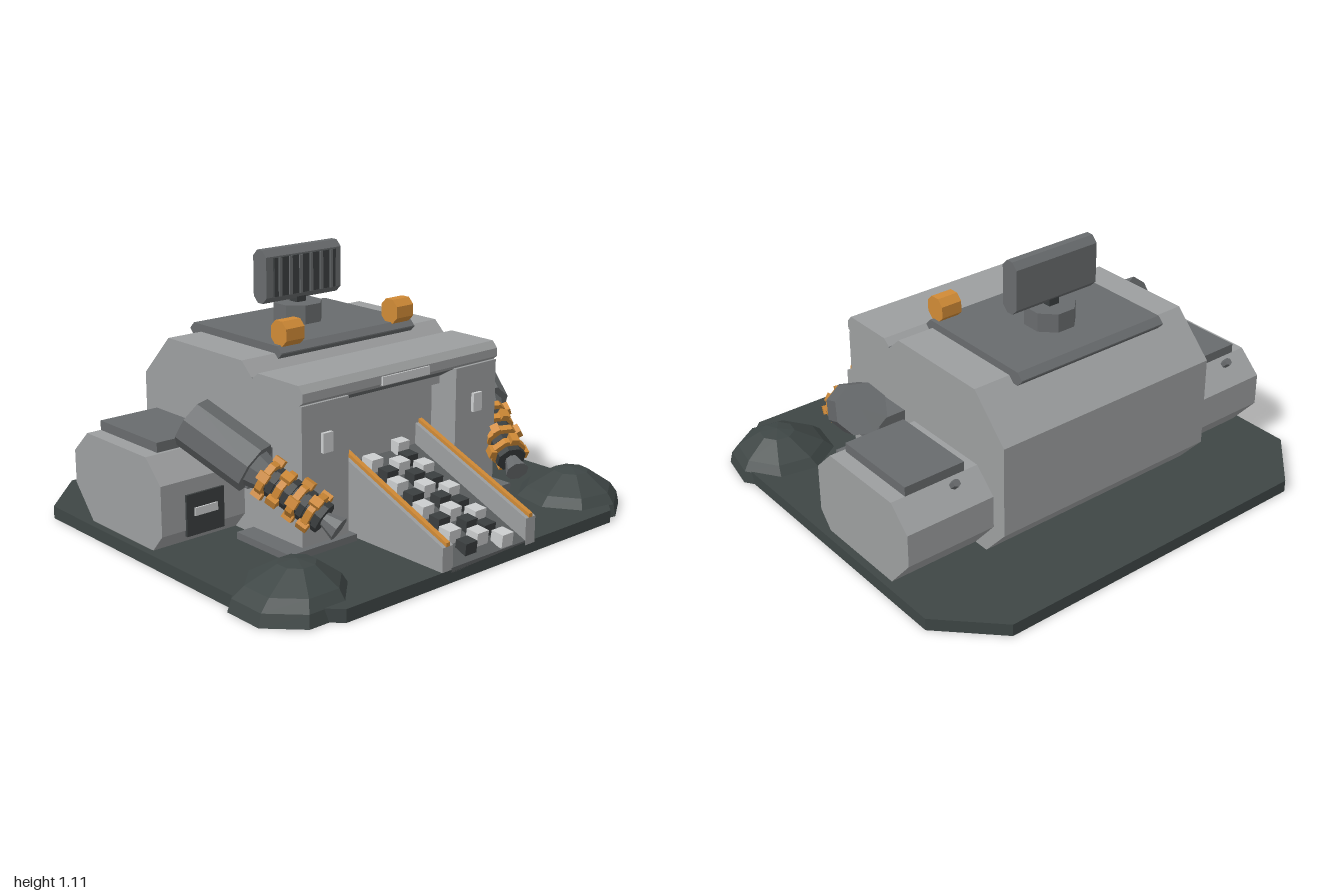
import * as THREE from 'three';

const mat = (name, color) => {
  const m = new THREE.MeshStandardMaterial({ color, flatShading: true });
  m.name = name;
  return m;
};

export function createModel() {
  const hull = mat('hull grey', 0x9c9e9f);
  const mid = mat('mid grey', 0x686b6d);
  const ramp = mat('ramp grey', 0x595c5e);
  const dark = mat('dark grey', 0x3a3e3f);
  const ground = mat('base green grey', 0x3e4645);
  const orange = mat('orange', 0xd08a36);
  const pale = mat('pale grey', 0xcbcdce);

  const root = new THREE.Group();
  root.name = 'refinery';
  const body = new THREE.Group();
  body.name = 'building';
  body.position.x = 0.0125;
  root.add(body);

  const add = (name, geo, m, x = 0, y = 0, z = 0, parent = body) => {
    const mesh = new THREE.Mesh(geo, m);
    mesh.name = name;
    mesh.position.set(x, y, z);
    parent.add(mesh);
    return mesh;
  };
  // Box given by its limits
  const box = (name, m, x0, x1, y0, y1, z0, z1) =>
    add(name, new THREE.BoxGeometry(x1 - x0, y1 - y0, z1 - z0), m, (x0 + x1) / 2, (y0 + y1) / 2, (z0 + z1) / 2);
  // Side profile of [z, y] points, swept across x
  const sweep = (name, m, pts, width, x = 0) => {
    const shape = new THREE.Shape(pts.map(([z, y]) => new THREE.Vector2(z, y)));
    const geo = new THREE.ExtrudeGeometry(shape, { depth: width, bevelEnabled: false });
    geo.translate(0, 0, -width / 2).rotateY(-Math.PI / 2);
    return add(name, geo, m, x);
  };
  // Rectangle with cut corners, as [z, y] points
  const cutRect = (z0, z1, y0, y1, c) => [[z0 + c, y0], [z1 - c, y0], [z1, y0 + c], [z1, y1 - c],
    [z1 - c, y1], [z0 + c, y1], [z0, y1 - c], [z0, y0 + c]];

  // Base slab with cut corners
  const slab = new THREE.Shape(cutRect(-0.97, 0.97, -0.9, 0.91, 0.23).map(p => new THREE.Vector2(...p)));
  const slabGeo = new THREE.ExtrudeGeometry(slab, { depth: 0.053, bevelEnabled: false });
  add('baseSlab', slabGeo.rotateX(-Math.PI / 2), ground);

  // Main hall
  sweep('mainHall', hull, [[0.28, 0.05], [0.28, 0.64], [0.13, 0.69], [0.06, 0.755], [-0.43, 0.755],
    [-0.605, 0.575], [-0.605, 0.18], [-0.49, 0.05]], 1.07);
  sweep('frontBeam', hull, [[0.1, 0.64], [0.4, 0.64], [0.425, 0.66], [0.425, 0.695], [0.4, 0.723],
    [0.16, 0.723], [0.125, 0.695]], 1.07);
  sweep('beamUnderside', mid, [[0.27, 0.6], [0.33, 0.6], [0.4, 0.64], [0.27, 0.64]], 0.595);
  box('lintel', hull, -0.297, 0.297, 0.565, 0.6, 0.27, 0.325);
  box('notchStrip', mid, -0.535, 0.535, 0.69, 0.698, 0.08, 0.135);
  box('namePlate', pale, -0.13, 0.13, 0.655, 0.69, 0.42, 0.432);
  for (const s of [-1, 1]) {
    sweep('frontPillar', hull, [[0.25, 0.05], [0.42, 0.05], [0.42, 0.645], [0.25, 0.645]], 0.238, s * 0.416);
    add('pillarLamp', new THREE.BoxGeometry(0.05, 0.08, 0.02), pale, s * 0.415, 0.485, 0.425);
    add('pillarFoot', new THREE.BoxGeometry(0.34, 0.03, 0.33), mid, s * 0.45, 0.067, 0.285);
  }

  // Roof plate, beacons and radar
  sweep('roofPlate', mid, cutRect(-0.505, 0.1, 0.73, 0.787, 0.026), 0.735);
  for (const s of [-1, 1]) sweep('beacon', orange, cutRect(0.015, 0.11, 0.782, 0.885, 0.027), 0.095, s * 0.302);
  const pedestal = new THREE.CylinderGeometry(0.108, 0.108, 0.085, 8).rotateY(Math.PI / 8);
  add('radarPedestal', pedestal, mid, 0, 0.825, -0.235);
  box('radarPost', dark, -0.025, 0.025, 0.86, 0.9, -0.26, -0.21);
  sweep('radarPanel', mid, cutRect(-0.275, -0.19, 0.885, 1.11, 0.027), 0.41);
  box('radarGrille', dark, -0.168, 0.168, 0.915, 1.078, -0.2, -0.18);
  for (let i = 0; i < 6; i++) {
    const x = -0.14 + i * 0.056;
    box('grilleBar', mid, x - 0.008, x + 0.008, 0.915, 1.078, -0.185, -0.174);
  }

  // Side wings
  for (const s of [-1, 1]) {
    const cx = s * 0.735;
    sweep('sideWing', hull, [[0, 0.05], [0.065, 0.125], [0.065, 0.33], [-0.03, 0.425], [-0.44, 0.425],
      [-0.54, 0.33], [-0.54, 0.19], [-0.42, 0.05]], 0.405, cx);
    box('wingRoofPlate', mid, cx - 0.138, cx + 0.138, 0.42, 0.465, -0.44, -0.045);
    box('wingHatch', dark, cx - 0.09, cx + 0.09, 0.1, 0.27, 0.06, 0.075);
    box('wingHatchPlate', pale, cx - 0.055, cx + 0.055, 0.18, 0.213, 0.074, 0.082);
    const pipe = new THREE.CylinderGeometry(0.017, 0.017, 0.1, 6);
    add('wingPipe', pipe, mid, cx - 0.065, 0.39, -0.455).rotation.x = -0.78;
    add('armBracket', new THREE.BoxGeometry(0.13, 0.14, 0.21), mid, s * 0.595, 0.375, 0.14);
  }

  // Slanted arms: barrel, banded hose and nozzle along the group's own y axis
  for (const s of [-1, 1]) {
    const arm = new THREE.Group();
    arm.name = s > 0 ? 'leftArm' : 'rightArm';
    arm.position.set(s * 0.75, 0.54, 0.02);
    const dir = new THREE.Vector3(-s * 0.25, -0.34, 0.57).normalize();
    arm.quaternion.setFromUnitVectors(new THREE.Vector3(0, 1, 0), dir);
    body.add(arm);
    const seg = (name, m, from, to, r0, r1 = r0) =>
      add(name, new THREE.CylinderGeometry(r1, r0, to - from, 8), m, 0, (from + to) / 2, 0, arm);
    seg('armBarrel', mid, 0, 0.31, 0.107);
    seg('barrelCollar', mid, 0.31, 0.36, 0.078, 0.065);
    seg('hoseCore', dark, 0.34, 0.64, 0.052);
    for (let i = 0; i < 4; i++) {
      const t = 0.375 + i * 0.073;
      seg('hoseBand', orange, t - 0.014, t + 0.014, 0.077);
      seg('hoseRib', dark, t + 0.024, t + 0.048, 0.064);
      for (let k = 0; k < 4; k++) {
        const a = k * Math.PI / 2 + i * 0.7;
        const lug = new THREE.BoxGeometry(0.026, 0.045, 0.036);
        add('bandLug', lug, orange, Math.cos(a) * 0.076, t, Math.sin(a) * 0.076, arm).rotation.y = -a;
      }
    }
    seg('nozzle', mid, 0.64, 0.71, 0.028, 0.05);
  }

  // Loading ramp with side rails
  sweep('rampBed', ramp, [[0.9, 0.04], [0.9, 0.06], [0.28, 0.31], [0.28, 0.04]], 0.42);
  for (const s of [-1, 1]) {
    sweep('rampRail', hull, [[0.9, 0.04], [0.9, 0.152], [0.28, 0.4], [0.28, 0.04]], 0.055, s * 0.232);
    sweep('rampRailStrip', orange, [[0.9, 0.152], [0.9, 0.168], [0.28, 0.416], [0.28, 0.4]], 0.02, s * 0.232);
  }
  // Ore lumps in three staggered lanes
  const lanes = [[-0.1, 0.49], [0.002, 0.54], [0.095, 0.44]];
  for (const [x, z0] of lanes) {
    for (let i = -1; i < 4; i++) {
      const z = z0 + i * 0.145;
      if (z > 0.89) continue;
      const y = 0.06 + (0.9 - z) * 0.403;
      const paleLump = new THREE.BoxGeometry(0.062, 0.055, 0.06);
      add('paleOre', paleLump, pale, x, y + 0.025, z).rotation.x = 0.1;
      if (z > 0.82) continue;
      const darkLump = new THREE.BoxGeometry(0.062, 0.05, 0.055);
      add('darkOre', darkLump, dark, x + (x > 0.05 ? -0.015 : 0.022), y - 0.01, z + 0.068).rotation.x = 0.1;
    }
  }

  // Rocky mounds at the front corners: rings of [radius, height, shift towards the peak]
  const mound = (cx, px, cz, turn) => {
    const rings = [[0.235, 0, 0], [0.222, 0.05, 0.1], [0.185, 0.09, 0.5], [0.075, 0.155, 1], [0, 0.168, 1]];
    const n = 8, pos = [], idx = [];
    rings.forEach(([r, y, k]) => {
      for (let i = 0; i < n; i++) {
        const a = turn + i / n * Math.PI * 2;
        pos.push(cx + (px - cx) * k + r * Math.sin(a), y, cz + r * Math.cos(a));
      }
    });
    for (let j = 0; j < rings.length - 1; j++) {
      for (let i = 0; i < n; i++) {
        const a = j * n + i, b = j * n + (i + 1) % n;
        idx.push(a, b, b + n, a, b + n, a + n);
      }
    }
    for (let i = 1; i < n - 1; i++) idx.push(0, i + 1, i);
    const geo = new THREE.BufferGeometry();
    geo.setAttribute('position', new THREE.Float32BufferAttribute(pos, 3));
    geo.setIndex(idx);
    geo.computeVertexNormals();
    add('cornerMound', geo, ground, 0, 0, 0, root);
  };
  mound(-0.77, -0.735, 0.64, 0.39);
  mound(0.78, 0.805, 0.64, 0.2);

  return root;
}
